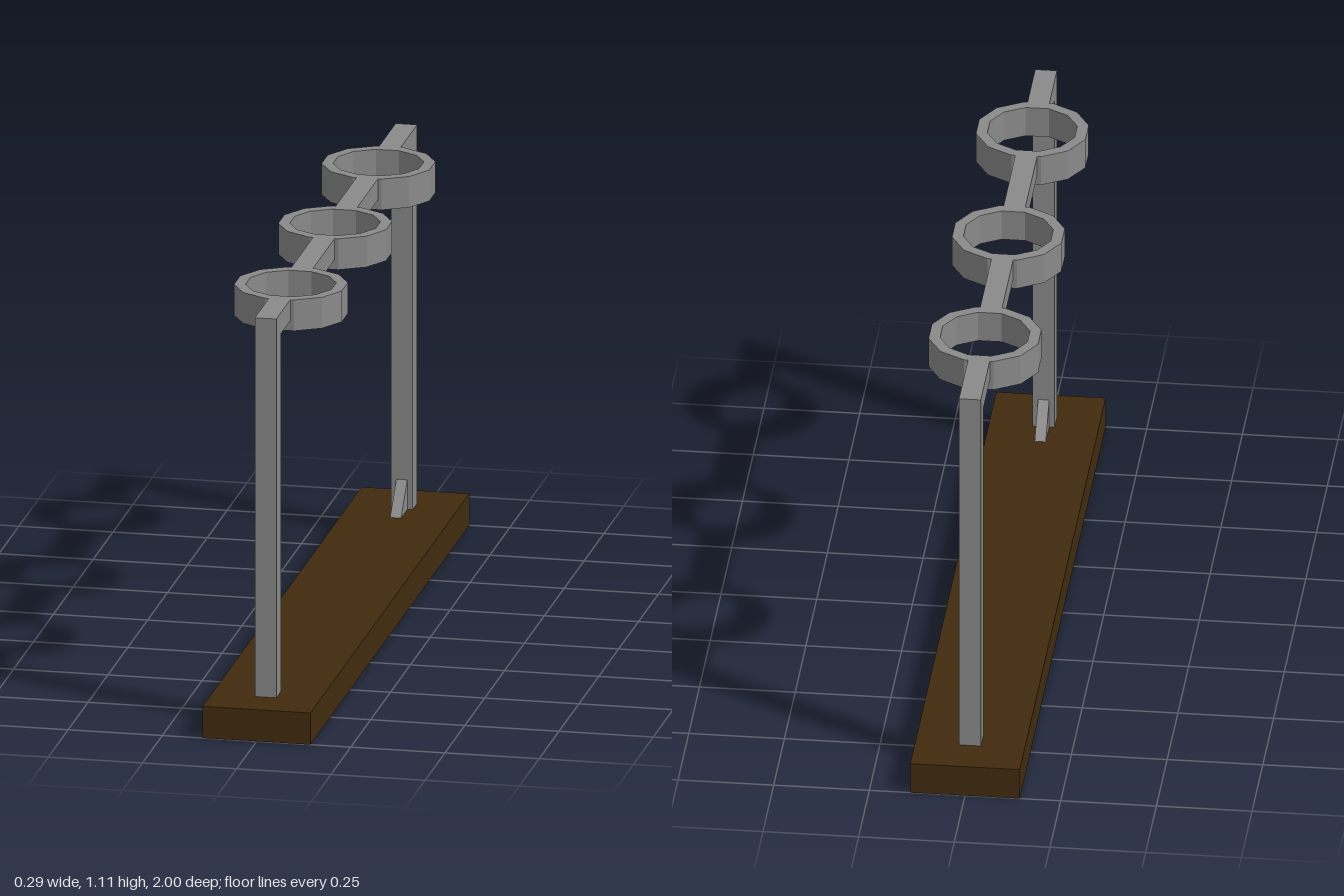
import * as THREE from 'three';

const WOOD = new THREE.MeshStandardMaterial({ color: 0x412b0f });
WOOD.name = 'dark wood';
const METAL = new THREE.MeshStandardMaterial({ color: 0x8a8a8a });
METAL.name = 'grey metal';
const PAD = new THREE.MeshStandardMaterial({ color: 0x444a58 });
PAD.name = 'slate underside';

const BASE_TOP = 0.086, TOP = 1.114, BAR = 0.057;
const POST_IN = 0.829, POST_OUT = 0.886;
const RING_Z = [-0.535, 0.01, 0.567];
const RING_BOTTOM = 1.03, SIDES = 12, TURN = Math.PI / SIDES;
const FLAT = 0.143; // ring centre to the middle of an outer facet
const OUTER = FLAT / Math.cos(TURN), INNER = 0.114 / Math.cos(TURN);

export function createModel() {
  const model = new THREE.Group();
  model.name = 'ringStand';

  const add = (name, geometry, material, parent = model) => {
    const mesh = new THREE.Mesh(geometry, material);
    mesh.name = name;
    parent.add(mesh);
    return mesh;
  };
  // box given by its width and its y and z ranges
  const bar = (name, width, y0, y1, z0, z1, material) =>
    add(name, new THREE.BoxGeometry(width, y1 - y0, z1 - z0), material)
      .position.set(0, (y0 + y1) / 2, (z0 + z1) / 2);

  bar('base', 0.286, 0, BASE_TOP, -1, 1, WOOD);

  // posts at both ends
  bar('frontPost', BAR, BASE_TOP, TOP, POST_IN, POST_OUT, METAL);
  bar('backPost', BAR, BASE_TOP, TOP, -POST_OUT, -POST_IN, METAL);

  // triangular braces at the inner foot of each post
  const thick = 0.029;
  const brace = new THREE.Shape([
    new THREE.Vector2(0, 0), new THREE.Vector2(0.08, 0), new THREE.Vector2(0, 0.08),
  ]);
  const braceGeometry = new THREE.ExtrudeGeometry(brace, { depth: thick, bevelEnabled: false });
  braceGeometry.translate(0, 0, -thick / 2);
  for (const side of [1, -1]) {
    const mesh = add(side > 0 ? 'frontBrace' : 'backBrace', braceGeometry, METAL);
    mesh.position.set(0, BASE_TOP, side * POST_IN);
    mesh.rotation.y = side * Math.PI / 2; // points towards the middle
  }

  // rail pieces between posts and rings
  const stops = [-POST_IN, ...RING_Z.flatMap((z) => [z - FLAT, z + FLAT]), POST_IN];
  for (let i = 0; i < stops.length; i += 2) {
    bar('rail' + (i / 2 + 1), BAR, TOP - BAR, TOP, stops[i], stops[i + 1], METAL);
  }

  // twelve-sided rings with a darker underside
  const profile = [
    [OUTER, RING_BOTTOM], [OUTER, TOP], [INNER, TOP], [INNER, RING_BOTTOM],
  ].map(([r, y]) => new THREE.Vector2(r, y));
  const wall = new THREE.LatheGeometry(profile, SIDES, TURN).toNonIndexed();
  wall.computeVertexNormals();
  const underside = new THREE.RingGeometry(INNER, OUTER, SIDES, 1, TURN);
  underside.rotateX(Math.PI / 2).translate(0, RING_BOTTOM, 0);
  RING_Z.forEach((z, i) => {
    const ring = new THREE.Group();
    ring.name = 'ring' + (i + 1);
    ring.position.z = z;
    add('ringWall', wall, METAL, ring);
    add('ringUnderside', underside, PAD, ring);
    model.add(ring);
  });

  return model;
}
